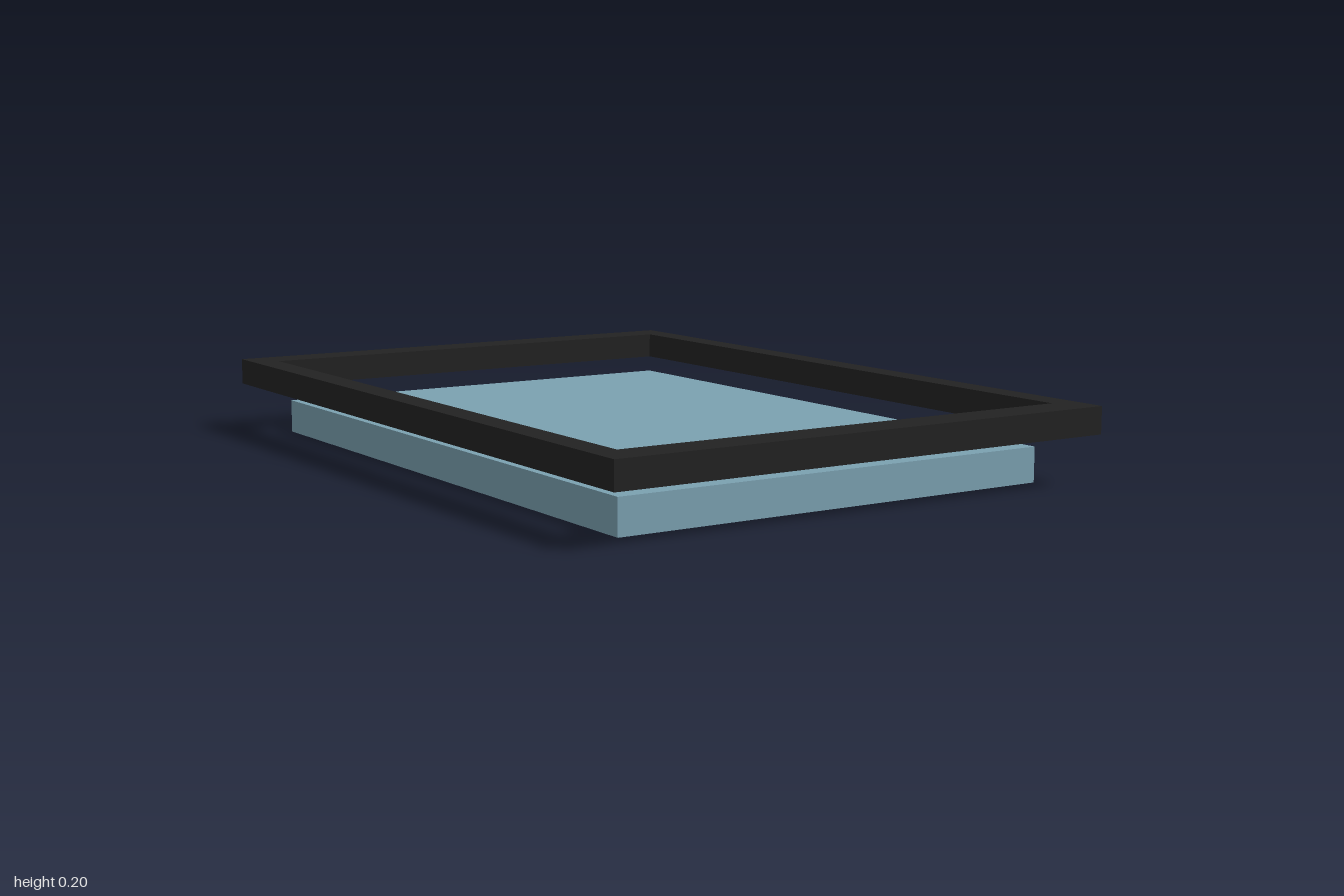
import * as THREE from 'three';

const frameBlack = new THREE.MeshStandardMaterial({ color: 0x222222 });
frameBlack.name = 'frame black';
const glassBlue = new THREE.MeshStandardMaterial({ color: 0x7ba1b1 });
glassBlue.name = 'glass blue';

// Corner points of a centred rectangle
function rectangle(width, depth) {
  const x = width / 2, y = depth / 2;
  return [[-x, -y], [x, -y], [x, y], [-x, y]].map(([a, b]) => new THREE.Vector2(a, b));
}

export function createModel() {
  const model = new THREE.Group();
  model.name = 'framedPanel';

  // Rectangular frame with an open middle
  const outline = new THREE.Shape(rectangle(1.4, 2));
  outline.holes.push(new THREE.Path(rectangle(1.26, 1.8)));
  const frameGeometry = new THREE.ExtrudeGeometry(outline, { depth: 0.07, bevelEnabled: false });
  frameGeometry.rotateX(-Math.PI / 2);
  const frame = new THREE.Mesh(frameGeometry, frameBlack);
  frame.name = 'frame';
  frame.position.y = 0.13;
  model.add(frame);

  // Glass slab floating below the frame opening
  const pane = new THREE.Mesh(new THREE.BoxGeometry(1.216, 0.09, 1.736), glassBlue);
  pane.name = 'glassPane';
  pane.position.y = 0.045;
  model.add(pane);

  return model;
}
